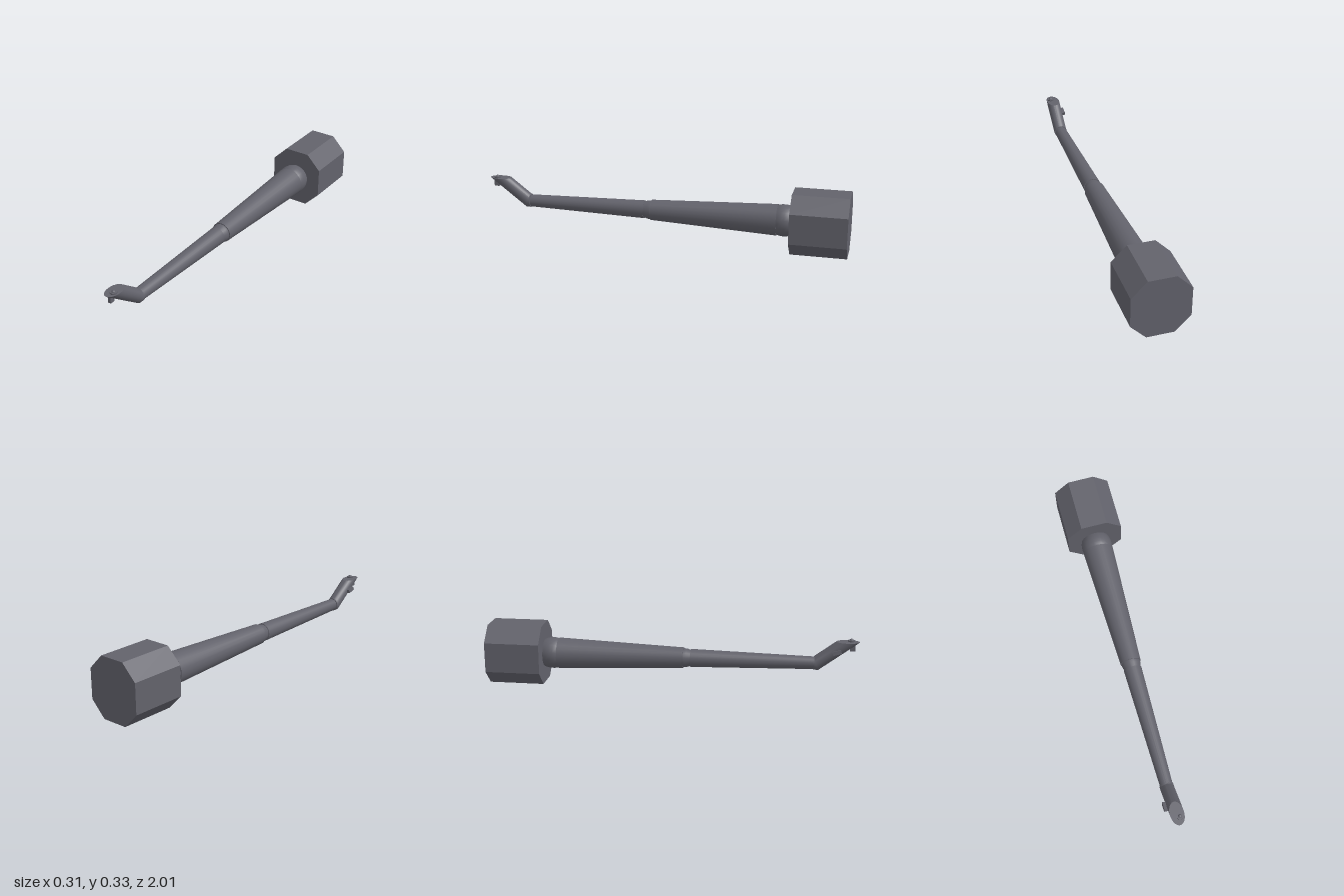
import * as THREE from 'three';
import { toCreasedNormals } from 'three/addons/utils/BufferGeometryUtils.js';

const AXIS_Y = 0.162;   // height of the shaft's centre line
const SIDES = 24;

// Octagonal handle block with clipped corners
function handleGeometry() {
  const w = 0.153, c = 0.072, lo = 0.083, hi = 0.245, top = 0.327;
  const outline = [[-c, 0], [c, 0], [w, lo], [w, hi], [c, top], [-c, top], [-w, hi], [-w, lo]];
  const shape = new THREE.Shape(outline.map(([x, y]) => new THREE.Vector2(x, y)));
  return new THREE.ExtrudeGeometry(shape, { depth: 0.3, bevelEnabled: false }).translate(0, 0, -1);
}

// Turned part along z from [radius, z] pairs
function turned(profile) {
  const points = profile.map(([r, z]) => new THREE.Vector2(r, z));
  const geometry = new THREE.LatheGeometry(points, SIDES).rotateX(Math.PI / 2).translate(0, AXIS_Y, 0);
  return toCreasedNormals(geometry, 0.45);
}

// Mitred tube that turns upward and is cut off level at the top
function elbowGeometry() {
  const r = 0.037, bend = 0.646, cutY = 0.285, mitreZ = 0.782;
  const position = [], index = [];
  for (let i = 0; i <= SIDES; i++) {
    const a = (i / SIDES) * Math.PI * 2;
    const x = r * Math.cos(a), h = r * Math.sin(a), y = AXIS_Y + h;
    const z = mitreZ - h * Math.tan(bend / 2);
    position.push(x, y, 0.767, x, y, z, x, cutY, z + (cutY - y) / Math.tan(bend));
  }
  const bottom = position.length / 3, top = bottom + 1;
  position.push(0, AXIS_Y, 0.767, 0, cutY, mitreZ + (cutY - AXIS_Y) / Math.tan(bend));
  for (let i = 0; i < SIDES; i++) {
    const a = i * 3, b = a + 3;
    for (let k = 0; k < 2; k++) index.push(a + k, b + k, b + k + 1, a + k, b + k + 1, a + k + 1);
    index.push(bottom, b, a, top, a + 2, b + 2);
  }
  const geometry = new THREE.BufferGeometry();
  geometry.setAttribute('position', new THREE.Float32BufferAttribute(position, 3));
  geometry.setIndex(index);
  return toCreasedNormals(geometry, 0.5);
}

export function createModel() {
  const model = new THREE.Group();
  const gunmetal = new THREE.MeshStandardMaterial({ color: 0x62626b });
  gunmetal.name = 'gunmetal grey';

  const add = (name, geometry, x = 0, y = 0, z = 0) => {
    const mesh = new THREE.Mesh(geometry, gunmetal);
    mesh.name = name;
    mesh.position.set(x, y, z);
    model.add(mesh);
    return mesh;
  };

  add('handle', handleGeometry());

  // Telescoping shaft: rounded collar, thick section, joint ring, thin section, neck
  add('collar', turned([[0.076, -0.7], [0.082, -0.685], [0.085, -0.665], [0.085, -0.645],
    [0.082, -0.63], [0.078, -0.62], [0.078, -0.6]]));
  add('thickSection', turned([[0, -0.622], [0.084, -0.622], [0.056, 0.06], [0.056, 0.068], [0, 0.068]]));
  add('jointRing', turned([[0.051, 0.06], [0.051, 0.085], [0.045, 0.105], [0.045, 0.115]]));
  add('thinSection', turned([[0, 0.108], [0.049, 0.108], [0.034, 0.765], [0, 0.765]]));
  add('neck', turned([[0.031, 0.755], [0.031, 0.775]]));

  add('elbow', elbowGeometry());

  // Button on the level cut of the tip
  add('buttonBase', new THREE.CylinderGeometry(0.018, 0.018, 0.012, 16), 0.01, 0.286, 0.962);
  add('buttonDome', new THREE.SphereGeometry(0.01, 12, 8), 0.01, 0.291, 0.962);

  // Small lug under the tip
  add('lug', new THREE.BoxGeometry(0.017, 0.045, 0.028), 0, 0.2575, 0.97);

  // Tilted side tab
  const tab = add('sideTab', new THREE.BoxGeometry(0.03, 0.02, 0.045), -0.039, 0.234, 0.888);
  tab.rotation.set(-0.3, 0, -0.15);

  return model;
}
